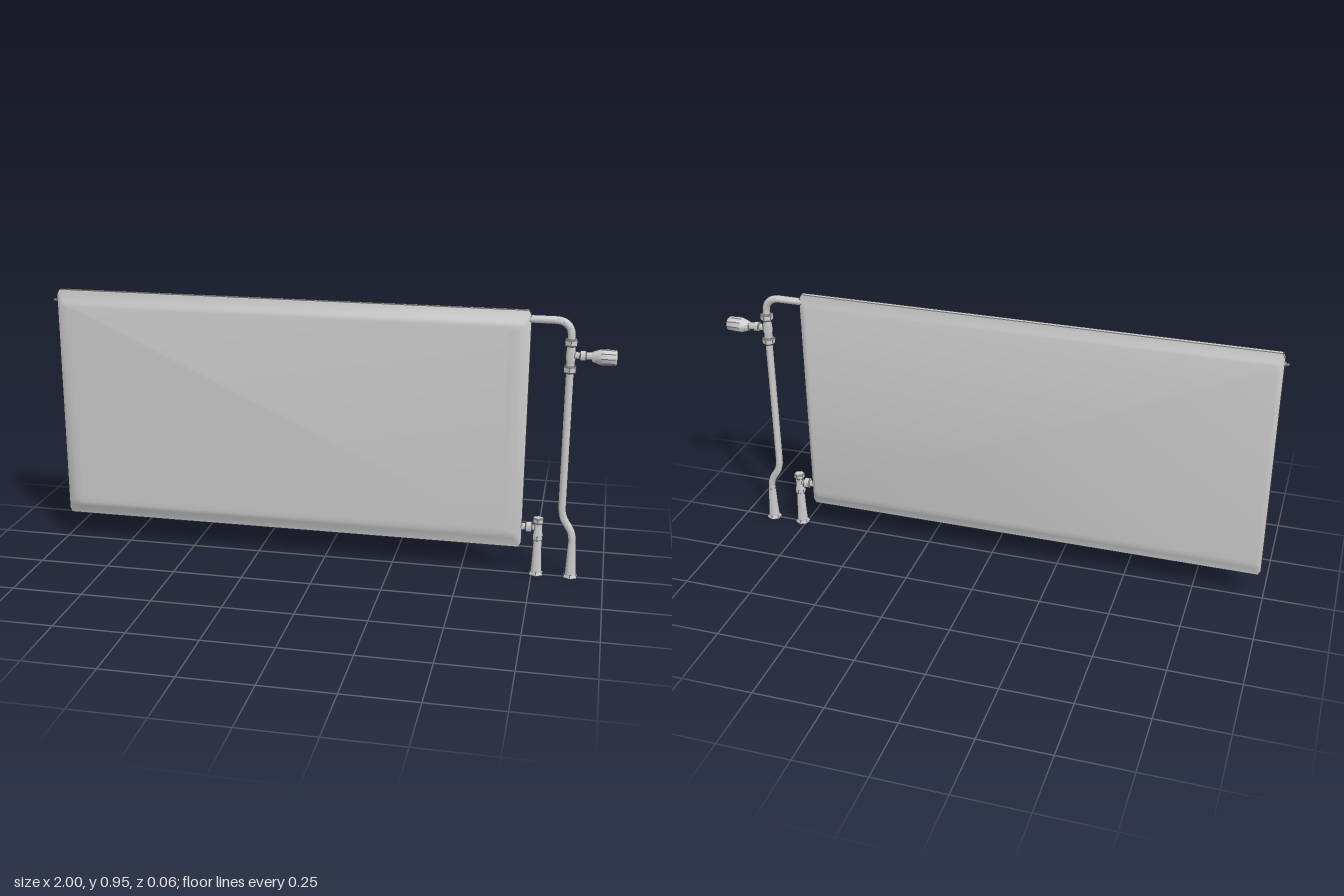
import * as THREE from 'three';
import { toCreasedNormals } from 'three/addons/utils/BufferGeometryUtils.js';

const material = new THREE.MeshStandardMaterial({ color: 0xcccccc });
const AXIS_Z = -0.002; // plane in which the pipework lies

function addMesh(parent, name, geometry, crease = 0.6) {
  const mesh = new THREE.Mesh(toCreasedNormals(geometry, crease), material);
  mesh.name = name;
  parent.add(mesh);
  return mesh;
}

// Turned part along +y; profile is [radius, height] from bottom to top
function turned(parent, name, profile, x, y, segments = 16) {
  const points = profile.map(([r, h]) => new THREE.Vector2(r, h));
  const mesh = addMesh(parent, name, new THREE.LatheGeometry(points, segments));
  mesh.position.set(x, y, AXIS_Z);
  return mesh;
}

// Hexagonal nut with chamfered rims
function nut(parent, name, x, y, radius, height) {
  const h = height / 2, c = height * 0.12;
  return turned(parent, name, [[0, -h], [radius * 0.9, -h], [radius, -h + c],
    [radius, h - c], [radius * 0.9, h], [0, h]], x, y, 6);
}

// Panel skin: chamfered rectangles stacked from front to back
function panelGeometry() {
  const x0 = -0.985, x1 = 0.71, y0 = 0.1, y1 = 0.955;
  // z, inset at the sides, inset at top and bottom
  const sections = [
    [0.033, 0.07, 0.056], [0.031, 0.045, 0.049], [0.025, 0.02, 0.038],
    [0.013, 0.006, 0.02], [0.007, 0, 0], [-0.01, 0, 0],
    [-0.014, 0.004, 0.018], [-0.021, 0.012, 0.032], [-0.025, 0.02, 0.042],
  ];
  const positions = [], index = [], n = 8;
  for (const [z, ix, iy] of sections) {
    const l = x0 + ix, r = x1 - ix, b = y0 + iy, t = y1 - iy, cx = 0.009, cy = 0.018;
    const ring = [[r, b + cy], [r, t - cy], [r - cx, t], [l + cx, t],
      [l, t - cy], [l, b + cy], [l + cx, b], [r - cx, b]];
    ring.forEach(([x, y]) => positions.push(x, y, z));
  }
  const last = (sections.length - 1) * n;
  for (let s = 0; s < last; s += n) {
    for (let j = 0; j < n; j++) {
      const k = (j + 1) % n;
      index.push(s + j, s + n + j, s + k, s + k, s + n + j, s + n + k);
    }
  }
  for (let j = 1; j < n - 1; j++) {
    index.push(0, j, j + 1, last, last + j + 1, last + j);
  }
  const geometry = new THREE.BufferGeometry();
  geometry.setAttribute('position', new THREE.Float32BufferAttribute(positions, 3));
  geometry.setIndex(index);
  return geometry;
}

// Pipe through straight runs joined by rounded bends
function pipe(parent, name, points, bend, radius) {
  const v = points.map(([x, y]) => new THREE.Vector3(x, y, AXIS_Z));
  const path = new THREE.CurvePath();
  let from = v[0];
  for (let i = 1; i < v.length - 1; i++) {
    const start = v[i].clone().add(v[i - 1].clone().sub(v[i]).setLength(bend));
    const end = v[i].clone().add(v[i + 1].clone().sub(v[i]).setLength(bend));
    path.add(new THREE.LineCurve3(from, start));
    path.add(new THREE.QuadraticBezierCurve3(start, v[i], end));
    from = end;
  }
  path.add(new THREE.LineCurve3(from, v[v.length - 1]));
  return addMesh(parent, name, new THREE.TubeGeometry(path, 90, radius, 14), 0.9);
}

// Floor end of a pipe: flared sleeve on a hexagonal foot
function floorSleeve(parent, x, height) {
  turned(parent, 'floorSleeve', [[0.021, 0.01], [0.018, 0.06], [0.015, height], [0, height]], x, 0);
  turned(parent, 'floorCollar', [[0, 0], [0.028, 0], [0.028, 0.004], [0.021, 0.013], [0, 0.013]], x, 0, 6);
}

export function createModel() {
  const model = new THREE.Group();
  model.name = 'radiator';

  addMesh(model, 'panel', panelGeometry());

  // Bleed plug on the left end
  const plug = turned(model, 'bleedPlug',
    [[0, 0], [0.01, 0], [0.01, 0.014], [0.006, 0.016], [0.006, 0.025], [0, 0.025]], -0.975, 0.915, 8);
  plug.rotation.z = Math.PI / 2;

  // Supply pipe with its valve
  const supply = new THREE.Group();
  supply.name = 'supply';
  model.add(supply);
  const sx = 0.845, valveY = 0.806;
  pipe(supply, 'supplyElbow', [[0.69, 0.924], [sx, 0.924], [sx, 0.84]], 0.058, 0.0145);
  pipe(supply, 'supplyPipe', [[sx, 0.77], [sx, 0.225], [0.886, 0.165], [0.886, 0.1]], 0.032, 0.0145);
  floorSleeve(supply, 0.886, 0.13);
  nut(supply, 'upperNut', sx, 0.85, 0.024, 0.024);
  nut(supply, 'lowerNut', sx, 0.757, 0.024, 0.024);
  turned(supply, 'valveBody', [[0.016, -0.045], [0.016, -0.02], [0.018, -0.01],
    [0.018, 0.01], [0.016, 0.02], [0.016, 0.045]], sx, valveY);
  const stem = turned(supply, 'valveStem', [[0, 0], [0.013, 0], [0.013, 0.03],
    [0.018, 0.032], [0.018, 0.05], [0.014, 0.052], [0.014, 0.09], [0, 0.09]], sx, valveY, 12);
  stem.rotation.z = -Math.PI / 2;
  const head = turned(supply, 'thermostatHead', [[0, 0], [0.017, 0], [0.022, 0.012],
    [0.028, 0.03], [0.029, 0.045], [0.027, 0.08], [0.023, 0.085], [0, 0.085]], 0.915, valveY - 0.002, 10);
  head.rotation.z = -Math.PI / 2;

  // Return pipe with its shut-off valve
  const back = new THREE.Group();
  back.name = 'return';
  model.add(back);
  const rx = 0.766;
  floorSleeve(back, rx, 0.15);
  turned(back, 'returnBody', [[0, 0.13], [0.017, 0.13], [0.019, 0.15], [0.016, 0.16],
    [0.016, 0.195], [0, 0.195]], rx, 0);
  nut(back, 'returnNut', rx, 0.14, 0.02, 0.018);
  nut(back, 'returnCap', rx, 0.204, 0.021, 0.02);
  const branch = turned(back, 'returnBranch', [[0, 0], [0.012, 0], [0.012, 0.02],
    [0.019, 0.022], [0.019, 0.042], [0.013, 0.044], [0.013, 0.08], [0, 0.08]], rx, 0.177, 12);
  branch.rotation.z = Math.PI / 2;

  return model;
}
